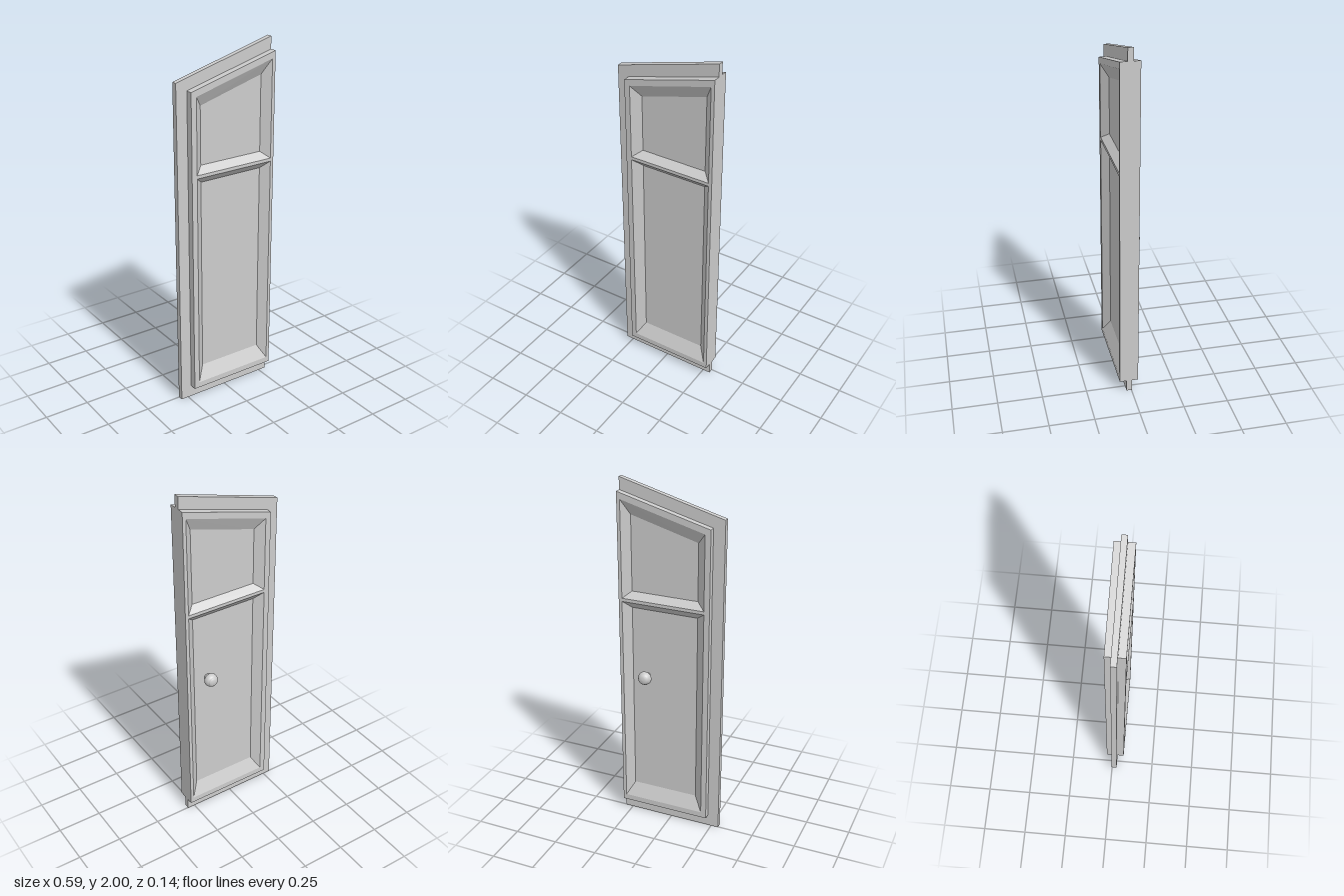
import * as THREE from 'three';

const grey = new THREE.MeshStandardMaterial({ color: 0xcccccc, flatShading: true });
const smoothGrey = new THREE.MeshStandardMaterial({ color: 0xcccccc });

// Slab between these two planes; the raised frames stand on it
const SLAB_BACK = -0.003, SLAB_FRONT = 0.028;

// Outlines run counter-clockwise: bottom left, bottom right, top right, top left
const quad = (x0, x1, y0, yRight, yLeft = yRight) => [[x0, y0], [x1, y0], [x1, yRight], [x0, yLeft]];
const slabOutline = quad(-0.293, 0.293, 0, 2, 1.84);
const frameOutline = quad(-0.229, 0.293, 0.067, 1.932, 1.792);
const panels = [
  { rim: quad(-0.198, 0.274, 0.1, 1.33), floor: quad(-0.15, 0.23, 0.18, 1.29) },
  { rim: quad(-0.198, 0.274, 1.348, 1.892, 1.765), floor: quad(-0.15, 0.23, 1.384, 1.808, 1.703) },
];

const toPoints = (outline) => outline.map(([x, y]) => new THREE.Vector2(x, y));

function add(group, name, geometry, material = grey) {
  const mesh = new THREE.Mesh(geometry, material);
  mesh.name = name;
  group.add(mesh);
  return mesh;
}

// Band of quads joining outline a at depth za to outline b at depth zb
function band(a, za, b, zb, flip) {
  const pos = [];
  a.forEach((p, i) => {
    const j = (i + 1) % a.length;
    const c = [[...p, za], [...a[j], za], [...b[j], zb], [...b[i], zb]];
    const order = flip ? [0, 2, 1, 0, 3, 2] : [0, 1, 2, 0, 2, 3];
    order.forEach((k) => pos.push(...c[k]));
  });
  const g = new THREE.BufferGeometry();
  g.setAttribute('position', new THREE.Float32BufferAttribute(pos, 3));
  g.computeVertexNormals();
  return g;
}

// Raised frame with two bevelled panel recesses, for one side of the door
function panelFrame(name, zBase, zFace) {
  const group = new THREE.Group();
  group.name = name;
  const back = zFace < zBase;

  const shape = new THREE.Shape(toPoints(frameOutline));
  panels.forEach(({ rim }) => shape.holes.push(new THREE.Path(toPoints(rim))));
  const face = new THREE.ShapeGeometry(shape);
  if (back) {
    face.index.array.reverse();
    face.computeVertexNormals();
  }
  face.translate(0, 0, zFace);
  add(group, 'frameFace', face);
  add(group, 'frameEdge', band(frameOutline, zBase, frameOutline, zFace, back));
  panels.forEach(({ rim, floor }, i) =>
    add(group, i ? 'upperPanelBevel' : 'lowerPanelBevel', band(rim, zFace, floor, zBase, back)));
  return group;
}

export function createModel() {
  const door = new THREE.Group();
  door.name = 'door';

  // Thin slab: projecting lip around the frames and floor of the recesses
  const slab = new THREE.ExtrudeGeometry(new THREE.Shape(toPoints(slabOutline)),
    { depth: SLAB_FRONT - SLAB_BACK, bevelEnabled: false });
  slab.translate(0, 0, SLAB_BACK);
  add(door, 'slab', slab);

  door.add(panelFrame('frontFrame', SLAB_FRONT, 0.067));
  door.add(panelFrame('backFrame', SLAB_BACK, -0.038));

  // Turned knob on the back: stem, round body and small cap
  const profile = [[0.02, 0], [0.021, 0.012], [0.032, 0.02], [0.037, 0.028], [0.038, 0.036],
    [0.036, 0.046], [0.031, 0.055], [0.026, 0.057], [0.028, 0.06], [0.024, 0.064],
    [0.015, 0.069], [0, 0.07]].map(([r, h]) => new THREE.Vector2(r, h));
  const knob = add(door, 'knob', new THREE.LatheGeometry(profile, 24), smoothGrey);
  knob.rotation.x = -Math.PI / 2;
  knob.position.set(0.145, 0.895, SLAB_BACK);

  return door;
}
